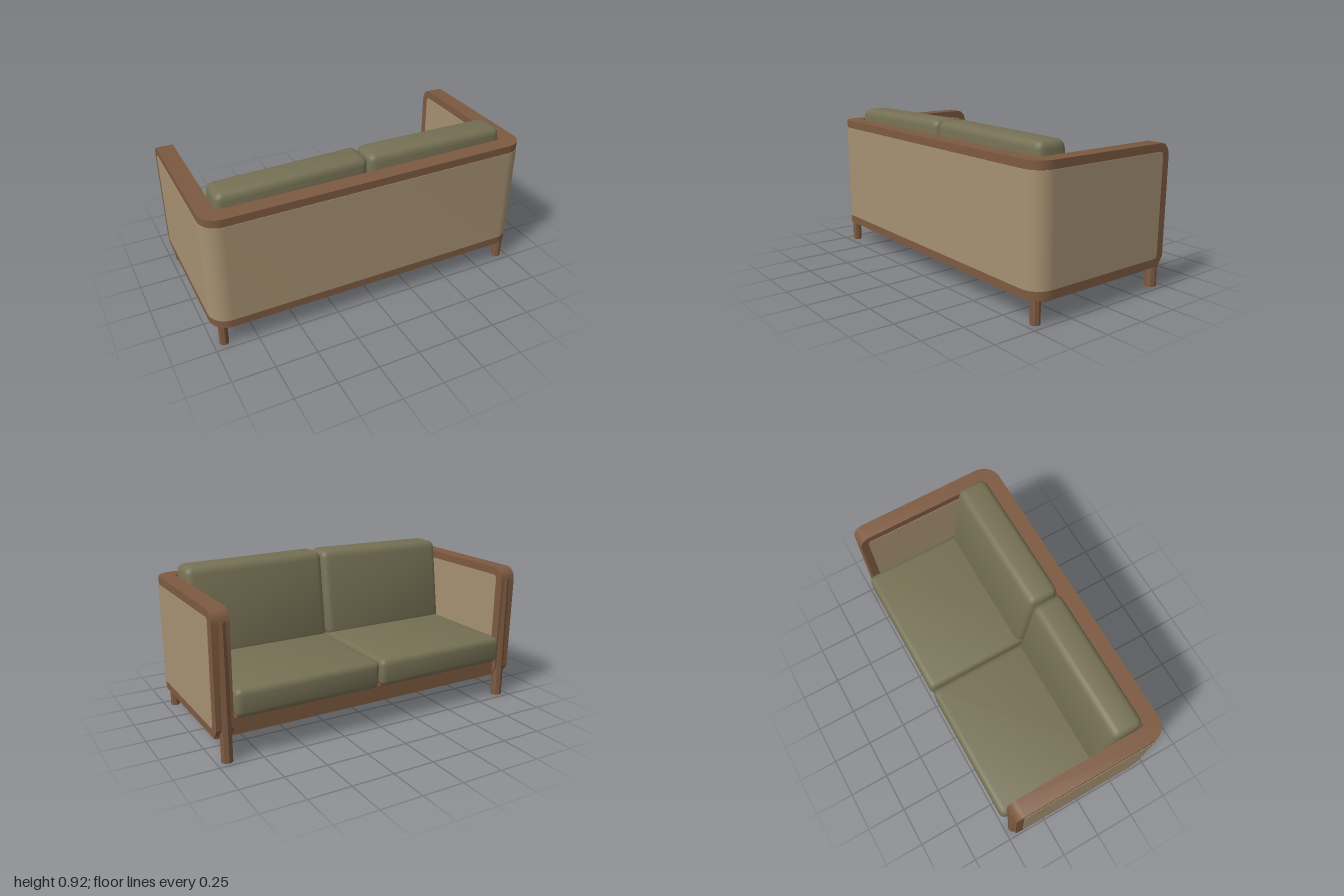
import * as THREE from 'three';
import { toCreasedNormals } from 'three/addons/utils/BufferGeometryUtils.js';
import { RoundedBoxGeometry } from 'three/addons/geometries/RoundedBoxGeometry.js';

const wood = new THREE.MeshStandardMaterial({ color: 0x7d5a41 });
wood.name = 'walnutWood';
const cane = new THREE.MeshStandardMaterial({ color: 0xa69172 });
cane.name = 'wovenPanel';
const fabric = new THREE.MeshStandardMaterial({ color: 0x757054 });
fabric.name = 'oliveFabric';

const BOTTOM = 0.135, TOP = 0.84, BACK = 0.497, SPLIT = 0.37;

function add(group, name, geometry, material) {
  const mesh = new THREE.Mesh(geometry, material);
  mesh.name = name;
  group.add(mesh);
  return mesh;
}

// Extrudes a plan drawn in (x, z) between two heights
function slab(shape, y0, y1) {
  const g = new THREE.ExtrudeGeometry(shape, { depth: y1 - y0, bevelEnabled: false, curveSegments: 8 });
  g.rotateX(Math.PI / 2).translate(0, y1, 0);
  return toCreasedNormals(g, 0.5);
}

// Extrudes a side profile drawn in (z, y) between two x positions
function sideSlab(shape, x0, x1) {
  const g = new THREE.ExtrudeGeometry(shape, { depth: x1 - x0, bevelEnabled: false, curveSegments: 6 });
  g.rotateY(-Math.PI / 2).translate(x1, 0, 0);
  return toCreasedNormals(g, 0.5);
}

// Outer outline of the shell with rounded back corners, open end at z = front
function outline(front, w, back, r) {
  const s = new THREE.Shape();
  s.moveTo(w, front);
  s.lineTo(w, back - r);
  s.absarc(w - r, back - r, r, 0, Math.PI / 2, false);
  s.lineTo(-w + r, back);
  s.absarc(-w + r, back - r, r, Math.PI / 2, Math.PI, false);
  s.lineTo(-w, front);
  return s;
}

// U-shaped plan: outline with a rectangular inside
function wrap(front, w, back, r, innerW, innerBack) {
  const s = outline(front, w, back, r);
  s.lineTo(-innerW, front);
  s.lineTo(-innerW, innerBack);
  s.lineTo(innerW, innerBack);
  s.lineTo(innerW, front);
  return s;
}

// Arm side: rounded top front corner, cut lower front corner
function armProfile() {
  const s = new THREE.Shape();
  s.moveTo(SPLIT, BOTTOM);
  s.lineTo(SPLIT, TOP);
  s.lineTo(-0.415, TOP);
  s.quadraticCurveTo(-0.466, 0.825, -0.47, 0.765);
  s.lineTo(-0.462, 0.19);
  s.lineTo(-0.425, BOTTOM);
  return s;
}

// Woven arm panel with two rounded front corners
function panelProfile(back) {
  const s = new THREE.Shape(), f = -0.42, lo = 0.185, hi = 0.793, r = 0.03;
  s.moveTo(back, lo);
  s.lineTo(back, hi);
  s.lineTo(f + r, hi);
  s.quadraticCurveTo(f, hi, f, hi - r);
  s.lineTo(f + 0.008, lo + r);
  s.quadraticCurveTo(f + 0.01, lo, f + r, lo);
  return s;
}

// Soft box whose vertices are moved by a rule
function cushion(w, h, d, r, center, rule) {
  const g = new RoundedBoxGeometry(w, h, d, 2, r);
  g.translate(...center);
  const p = g.attributes.position, v = new THREE.Vector3();
  for (let i = 0; i < p.count; i++) {
    v.fromBufferAttribute(p, i);
    rule(v);
    p.setXYZ(i, v.x, v.y, v.z);
  }
  return toCreasedNormals(g, 0.5);
}

export function createModel() {
  const sofa = new THREE.Group();
  sofa.name = 'sofa';

  // Wooden shell: base, back and arms
  add(sofa, 'base', slab(outline(-0.435, 0.99, BACK - 0.006, 0.1), BOTTOM + 0.001, 0.235), wood);
  add(sofa, 'backFrame', slab(wrap(SPLIT, 0.997, BACK - 0.003, 0.11, 0.897, 0.395), BOTTOM, TOP), wood);
  add(sofa, 'backPanel', slab(wrap(SPLIT, 1, BACK, 0.113, 0.993, BACK - 0.12), 0.185, 0.793), cane).visible = false;

  // Thin woven sheet following the back and its rounded corners
  const sheet = outline(SPLIT, 1, BACK, 0.113);
  const inner = outline(SPLIT, 0.994, BACK - 0.006, 0.107).getPoints(8).reverse();
  inner.forEach((p) => sheet.lineTo(p.x, p.y));
  sofa.remove(sofa.getObjectByName('backPanel'));
  add(sofa, 'backPanel', slab(sheet, 0.185, 0.793), cane);

  for (const side of [1, -1]) {
    const label = side > 0 ? 'left' : 'right';
    const span = (a, b) => (side > 0 ? [a, b] : [-b, -a]);
    add(sofa, label + 'Arm', sideSlab(armProfile(), ...span(0.897, 0.997)), wood);
    add(sofa, label + 'ArmOuterPanel', sideSlab(panelProfile(SPLIT), ...span(0.994, 1)), cane);
    add(sofa, label + 'ArmInnerPanel', sideSlab(panelProfile(0.39), ...span(0.894, 0.9)), cane);

    // Front leg runs up the arm as a post; back leg is short
    const post = new THREE.CylinderGeometry(0.034, 0.034, 0.775, 8);
    add(sofa, label + 'FrontLeg', toCreasedNormals(post, 0.5), wood)
      .position.set(side * 0.938, 0.3875, -0.443);
    const leg = new THREE.CylinderGeometry(0.028, 0.028, 0.15, 8);
    add(sofa, label + 'BackLeg', toCreasedNormals(leg, 0.5), wood)
      .position.set(side * 0.938, 0.075, 0.443);

    // Seat cushion
    add(sofa, label + 'SeatCushion',
      cushion(0.89, 0.165, 0.8, 0.038, [side * 0.448, 0.325, -0.097], () => {}), fabric);

    // Back cushion: front face leans back, top dips a little outwards
    add(sofa, label + 'BackCushion',
      cushion(0.89, 0.55, 0.2, 0.045, [side * 0.448, 0.65, 0.29], (v) => {
        const front = 0.125 + 0.075 * (v.y - 0.4) / 0.5;
        v.z = front + (v.z - 0.19) / 0.2 * (0.39 - front);
        if (v.y > 0.8) v.y -= 0.012 * Math.abs(v.x) / 0.9;
      }), fabric);
  }
  return sofa;
}
